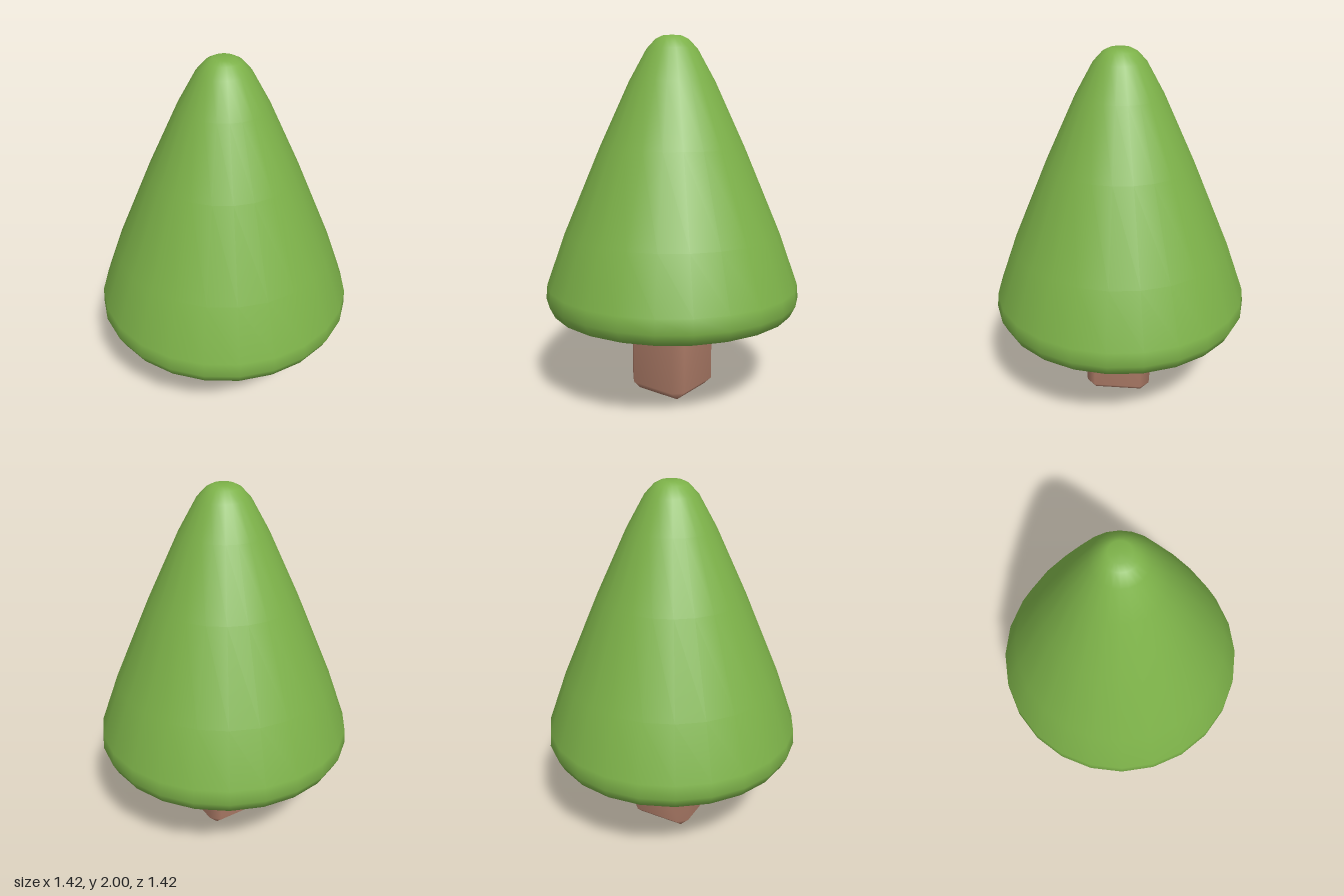
import * as THREE from 'three';
import { mergeVertices } from 'three/addons/utils/BufferGeometryUtils.js';
import { ConvexGeometry } from 'three/addons/geometries/ConvexGeometry.js';

// Box with every edge chamfered, shaded smoothly
function chamferedBox(w, h, d, c) {
  const half = [w / 2, h / 2, d / 2];
  const points = [];
  for (const sx of [-1, 1]) for (const sy of [-1, 1]) for (const sz of [-1, 1]) {
    for (let axis = 0; axis < 3; axis++) {
      const [x, y, z] = half.map((v, i) => (i === axis ? v : v - c));
      points.push(new THREE.Vector3(sx * x, sy * y, sz * z));
    }
  }
  let geometry = new ConvexGeometry(points);
  geometry.deleteAttribute('normal');
  geometry = mergeVertices(geometry, 1e-4);
  geometry.computeVertexNormals();
  return geometry;
}

export function createModel() {
  const leafGreen = new THREE.MeshStandardMaterial({ name: 'leafGreen', color: 0x7db249 });
  const barkBrown = new THREE.MeshStandardMaterial({ name: 'barkBrown', color: 0xab7a66 });
  const tree = new THREE.Group();
  tree.name = 'tree';

  // Foliage: rounded cone turned from its profile, bottom to top
  const profile = [
    [0, 0.45], [0.31, 0.45], [0.605, 0.473], [0.683, 0.505], [0.712, 0.565],
    [0.705, 0.643], [0.6, 0.935], [0.4, 1.405], [0.235, 1.76], [0.14, 1.93],
    [0.09, 1.983], [0.055, 2], [0, 2],
  ].map(([r, y]) => new THREE.Vector2(r, y));
  const foliage = new THREE.Mesh(new THREE.LatheGeometry(profile, 24), leafGreen);
  foliage.name = 'foliage';
  tree.add(foliage);

  // Trunk: square post whose top is buried in the foliage
  const trunk = new THREE.Mesh(chamferedBox(0.37, 0.64, 0.37, 0.05), barkBrown);
  trunk.name = 'trunk';
  trunk.position.y = 0.32;
  tree.add(trunk);

  return tree;
}
